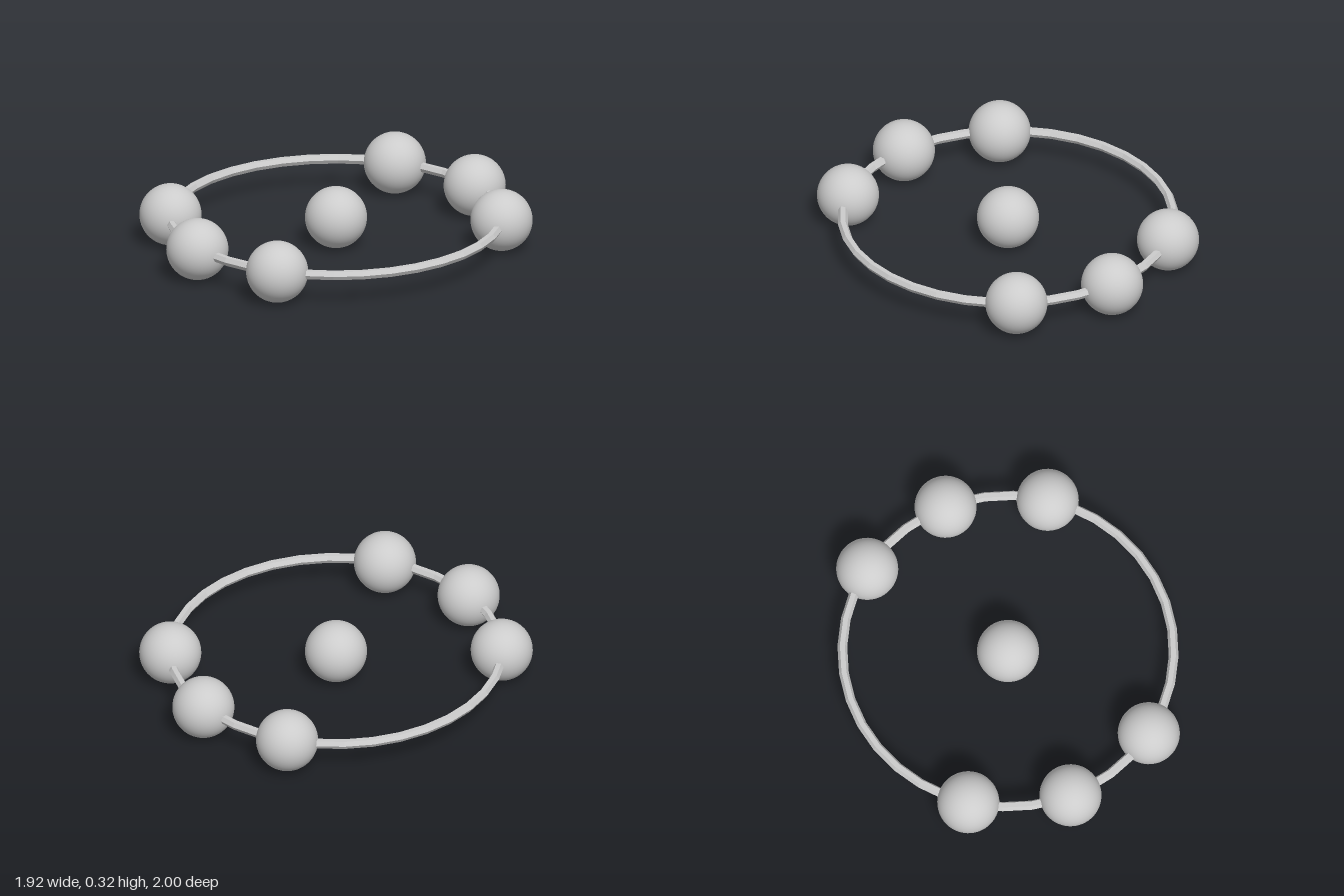
import * as THREE from 'three';

const RING_RADIUS = 0.842;
const BALL_RADIUS = 0.158;
const TUBE_RADIUS = 0.025;

export function createModel() {
  const model = new THREE.Group();
  model.name = 'ringOfBalls';

  const smooth = new THREE.MeshStandardMaterial({ color: 0xcccccc });
  const faceted = new THREE.MeshStandardMaterial({ color: 0xcccccc, flatShading: true });

  // Thin hexagonal ring lying flat at ball-centre height
  const ring = new THREE.Mesh(new THREE.TorusGeometry(RING_RADIUS, TUBE_RADIUS, 6, 36), faceted);
  ring.name = 'ring';
  ring.rotation.x = -Math.PI / 2;
  ring.position.y = BALL_RADIUS;
  model.add(ring);

  const ballGeometry = new THREE.SphereGeometry(BALL_RADIUS, 48, 32);
  const addBall = (name, x, z) => {
    const ball = new THREE.Mesh(ballGeometry, smooth);
    ball.name = name;
    ball.position.set(x, BALL_RADIUS, z);
    model.add(ball);
  };

  // Free ball in the middle
  addBall('centreBall', 0, 0);

  // Two opposite sets of three balls, 36 degrees apart
  [18, 54, 90].forEach((degrees, i) => {
    const angle = THREE.MathUtils.degToRad(degrees);
    const x = RING_RADIUS * Math.cos(angle);
    const z = RING_RADIUS * Math.sin(angle);
    addBall(`backBall${i + 1}`, x, -z);
    addBall(`frontBall${i + 1}`, -x, z);
  });

  return model;
}
